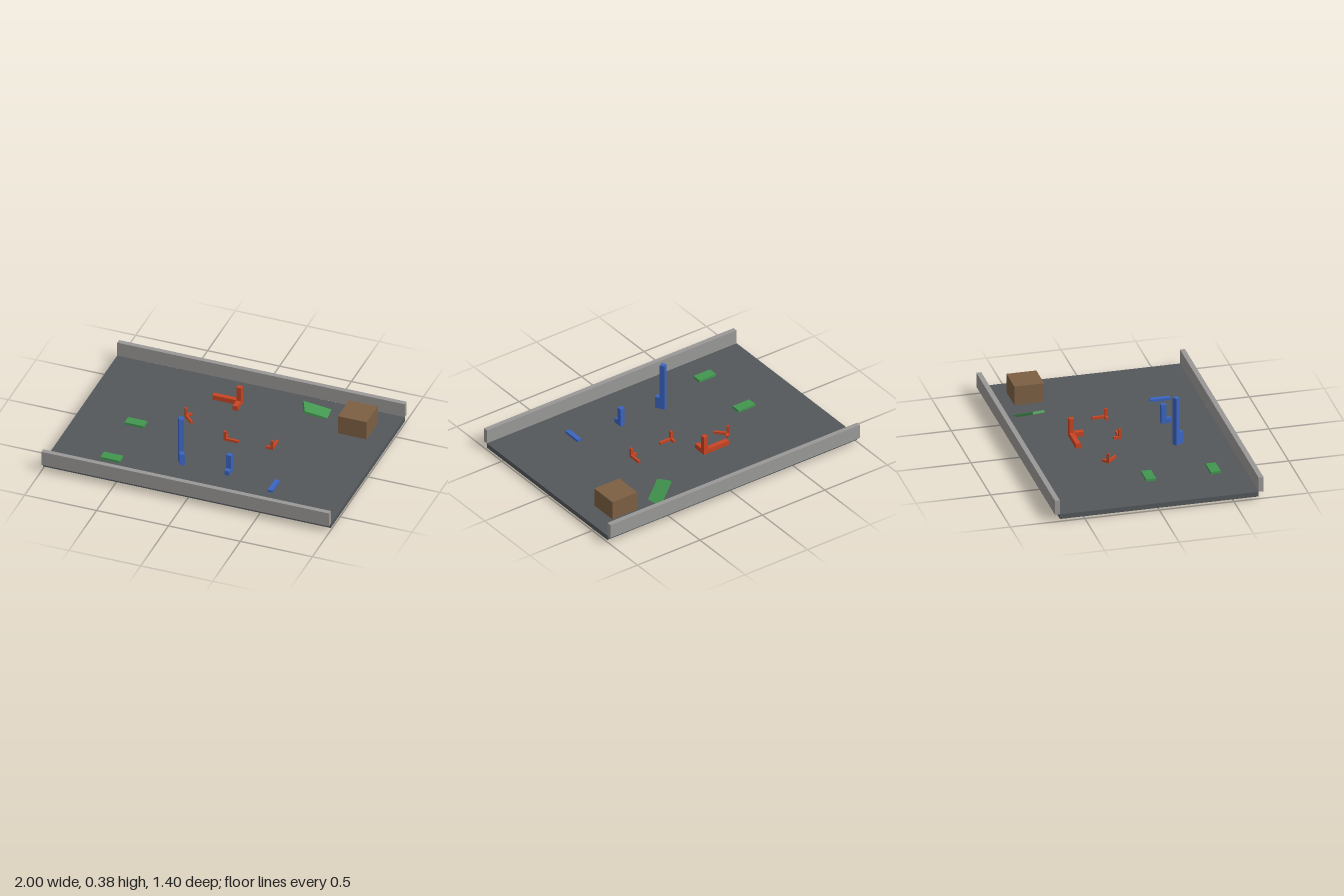
import * as THREE from 'three';

const mat = (name, color) => {
  const m = new THREE.MeshStandardMaterial({ color });
  m.name = name;
  return m;
};

export function createModel() {
  const floorGrey = mat('floor grey', 0x53575a);
  const railGrey = mat('rail grey', 0x999896);
  const blue = mat('blue', 0x3a64bf);
  const red = mat('red', 0xc64423);
  const green = mat('green', 0x42964f);
  const brown = mat('brown', 0x7c5f43);

  const model = new THREE.Group();
  model.name = 'blockField';

  const box = (name, material, size, pos, parent = model) => {
    const m = new THREE.Mesh(new THREE.BoxGeometry(...size), material);
    m.name = name;
    m.position.set(...pos);
    parent.add(m);
    return m;
  };
  const group = (name, pos, yaw = 0) => {
    const g = new THREE.Group();
    g.name = name;
    g.position.set(...pos);
    g.rotation.y = yaw;
    model.add(g);
    return g;
  };

  // Floor slab and the two long side rails
  box('floor', floorGrey, [2, 0.0333, 1.3333], [0, 0.0333, 0]);
  for (const s of [1, -1]) {
    box(s > 0 ? 'frontRail' : 'backRail', railGrey, [2, 0.1, 0.0333], [0, 0.1, s * 0.6833]);
  }

  // Large crate
  box('crate', brown, [0.2, 0.1333, 0.2], [0.7633, 0.1183, -0.4333]);

  // Flat pads and the tilted ramp
  for (const z of [0.0333, 0.4667]) {
    box('pad', green, [0.1333, 0.0167, 0.0667], [-0.6, 0.0583, z]);
  }
  const ramp = box('ramp', green, [0.2, 0.0167, 0.1], [0.46, 0.078, -0.49]);
  ramp.rotation.set(0.17, Math.PI / 6, -0.436, 'YZX');

  // Blue posts: an upright with a short foot against its base
  const post = (name, pos, yaw, height, footHeight) => {
    const g = group(name, pos, yaw);
    const w = 0.0333;
    box('upright', blue, [w, height, w], [0, height / 2, 0], g);
    box('foot', blue, [w, footHeight, w], [0, footHeight / 2, w], g);
    return g;
  };
  post('tallPost', [-0.17, 0.05, 0.3333], Math.PI / 6, 0.335, 0.0833);
  post('shortPost', [0.1667, 0.05, 0.3333], 0, 0.1333, 0.0333);
  // Toppled post, its foot sunk through the floor
  post('fallenPost', [0.5, 0.05, 0.3333], 0, 0.1333, 0.0333).rotation.x = Math.PI / 2;

  // Red corner pieces: long bar, upright and side arm meeting at one end
  const corner = (name, pos, yaw, s) => {
    const g = group(name, pos, yaw);
    const t = 0.0333;
    const end = 0.1 - t / 2;
    box('bar', red, [0.2, t, t], [0, 0, 0], g);
    box('upright', red, [t, 0.1, t], [end, t / 2 + 0.05, 0], g);
    box('arm', red, [t, t, 0.0667], [end, 0, t / 2 + 0.0333], g);
    g.scale.setScalar(s);
  };
  corner('largeCorner', [-0.1033, 0.1333, -0.3333], 0, 1);
  corner('smallCornerMiddle', [0.05, 0.0583, 0], Math.PI, 0.5);
  corner('smallCornerRight', [0.333, 0.0583, -0.05], -Math.PI / 2, 0.5);
  corner('smallCornerLeft', [-0.298, 0.0583, -0.135], Math.PI * 0.75, 0.5);

  return model;
}
